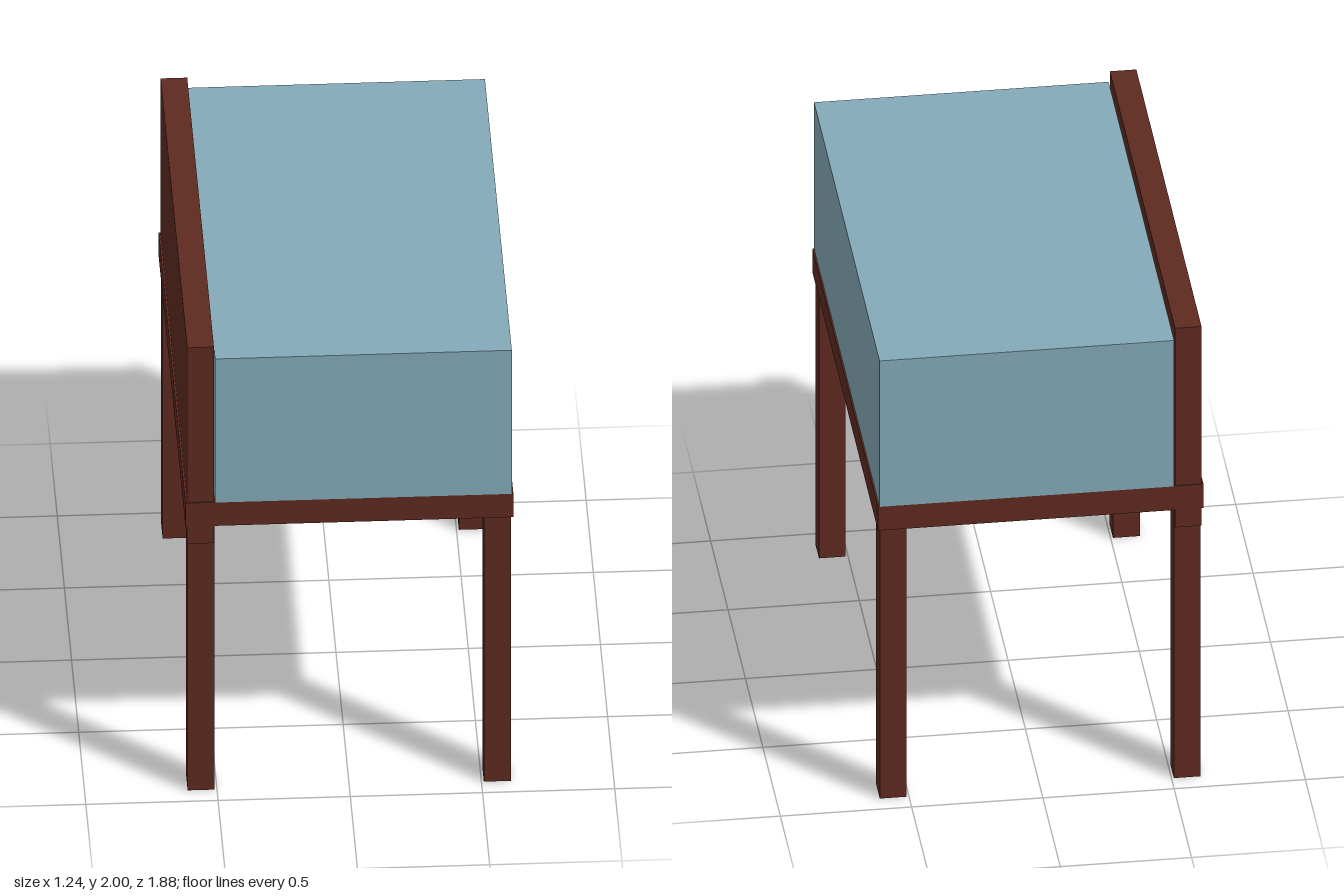
import * as THREE from 'three';

export function createModel() {
  const group = new THREE.Group();
  const wood = new THREE.MeshStandardMaterial({ color: 0x5e2a20 });
  const fabric = new THREE.MeshStandardMaterial({ color: 0x84aaba });

  // Box given by its minimum and maximum corners
  function box(name, material, [x0, y0, z0], [x1, y1, z1]) {
    const mesh = new THREE.Mesh(new THREE.BoxGeometry(x1 - x0, y1 - y0, z1 - z0), material);
    mesh.position.set((x0 + x1) / 2, (y0 + y1) / 2, (z0 + z1) / 2);
    mesh.name = name;
    group.add(mesh);
  }

  // Platform and the upright board along its right side
  box('platform', wood, [-0.62, 1.197, -0.938], [0.62, 1.303, 0.938]);
  box('backBoard', wood, [-0.613, 1.117, -0.934], [-0.512, 2, 0.934]);

  // Thick cushion block
  box('cushion', fabric, [-0.508, 1.303, -0.94], [0.614, 1.95, 0.94]);

  // Four square legs
  for (const sx of [-1, 1]) {
    for (const sz of [-1, 1]) {
      const x = sx * 0.56, z = sz * 0.873, h = 0.051;
      const name = (sz > 0 ? 'front' : 'back') + (sx > 0 ? 'Left' : 'Right') + 'Leg';
      box(name, wood, [x - h, 0, z - h], [x + h, 1.197, z + h]);
    }
  }
  return group;
}
